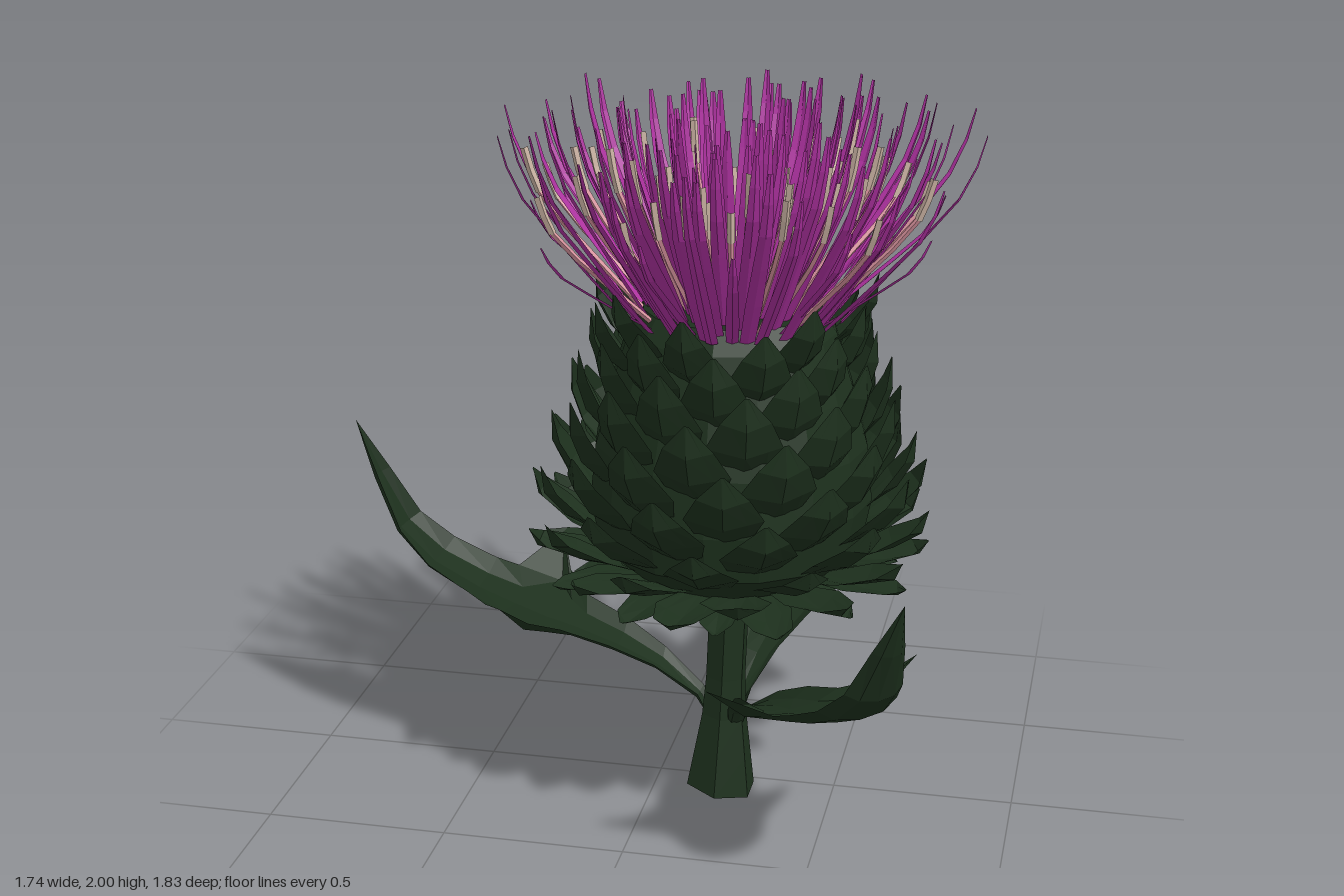
import * as THREE from 'three';
import { mergeGeometries } from 'three/addons/utils/BufferGeometryUtils.js';

const CX = 0.205, CZ = 0.06; // axis of the flower head
const GOLDEN = Math.PI * (3 - Math.sqrt(5));

// small seeded generator for natural irregularity
let seed = 7;
const rand = () => (seed = (seed * 16807) % 2147483647) / 2147483647;
const jitter = (a) => (rand() * 2 - 1) * a;

// Ridged blade pointing along +x. Station: [r, y, halfWidth, edge dr, edge dy];
// curl is the share of the edge offset reached at 60% of the half width
function blade(stations, curl = 0.6) {
  const pos = [];
  const across = [[-1, 1], [-0.6, curl], [0, 0], [0.6, curl], [1, 1]];
  const rows = stations.map(([r, y, w, dr = 0, dy = 0]) =>
    across.map(([u, k]) => [r + dr * k, y + dy * k, w * u]));
  for (let i = 0; i < rows.length - 1; i++) {
    for (let j = 0; j < 4; j++) {
      const a = rows[i][j], b = rows[i][j + 1], c = rows[i + 1][j], d = rows[i + 1][j + 1];
      pos.push(...a, ...b, ...d, ...a, ...d, ...c);
    }
  }
  const g = new THREE.BufferGeometry();
  g.setAttribute('position', new THREE.Float32BufferAttribute(pos, 3));
  g.computeVertexNormals();
  return g;
}

// Path that leans out of the head and then straightens up
function outwardPath(baseR, tipR, tipY) {
  const at = (u, v) => new THREE.Vector3(baseR + (tipR - baseR) * u, 1.39 + (tipY - 1.39) * v, 0);
  return new THREE.CatmullRomCurve3([at(0, 0), at(0.5, 0.4), at(0.88, 0.74), at(1, 1)]);
}

// Flat tapering floret strip
function floret(tipR, tipY, width) {
  const points = outwardPath(tipR * 0.45, tipR, tipY).getPoints(5);
  const taper = [1, 1.1, 1, 0.85, 0.65, 0.3];
  return blade(points.map((p, i) => [p.x, p.y, width * taper[i], -0.006 * taper[i], 0.002]));
}

// Round stamen: a filament and a slightly thicker anther, as two material groups
function stamen(tipR, tipY, radius) {
  const p = outwardPath(tipR * 0.4, tipR, tipY).getPoints(6);
  const filament = new THREE.TubeGeometry(new THREE.CatmullRomCurve3(p.slice(0, 5)), 4, radius * 0.85, 4);
  const anther = new THREE.TubeGeometry(new THREE.CatmullRomCurve3(p.slice(4)), 2, radius * 1.15, 4);
  return [filament, anther];
}

// Rings of parts around the axis: [tipR, tipY, count]
function rings(list, make, size) {
  const parts = [];
  list.forEach(([r, y, n], ring) => {
    for (let k = 0; k < n; k++) {
      const angle = (k + ring * 0.37) / n * Math.PI * 2 + jitter(0.07);
      const made = [make(r + jitter(0.03), Math.min(2, y + jitter(0.06)), size)].flat();
      made.forEach((g, i) => (parts[i] ??= []).push(g.rotateY(angle)));
    }
  });
  return parts.map((list) => mergeGeometries(list));
}

export function createModel() {
  const group = new THREE.Group();
  const mat = (name, color, side = THREE.DoubleSide) => {
    const m = new THREE.MeshStandardMaterial({ color, side, flatShading: true });
    m.name = name;
    return m;
  };
  const green = mat('leaf green', 0x1d301d);
  const purple = mat('petal purple', 0xad319f);
  const pink = mat('filament pink', 0xd9949f, THREE.FrontSide);
  const cream = mat('anther cream', 0xccb4a4, THREE.FrontSide);
  const add = (name, geometry, material, parent) => {
    const mesh = new THREE.Mesh(geometry, material);
    mesh.name = name;
    parent.add(mesh);
    return mesh;
  };

  // stem: leaning slightly, flared foot cut at a slant
  const stem = new THREE.CylinderGeometry(1, 1, 1, 6, 6);
  const sp = stem.attributes.position;
  for (let i = 0; i < sp.count; i++) {
    const t = sp.getY(i) + 0.5, x = sp.getX(i), z = sp.getZ(i);
    const foot = Math.max(0, 1 - t * 2.5);
    const r = 0.058 + 0.042 * foot;
    sp.setXYZ(i, x * r + 0.187 + 0.022 * t, t * 0.7 + foot * (0.014 - x * 0.014), z * r + 0.073 - 0.013 * t);
  }
  add('stem', stem, green, group);

  // three lobed leaves around the stem
  const leafStations = [
    [0.04, 0.20, 0.02], [0.09, 0.27, 0.035, -0.01, 0.02], [0.2, 0.35, 0.065, 0, 0.03],
    [0.32, 0.40, 0.1, 0, 0.04], [0.43, 0.435, 0.13, 0.02, 0.05], [0.485, 0.45, 0.2, 0.035, 0.075],
    [0.53, 0.46, 0.3, 0.04, 0.145], [0.62, 0.49, 0.15, 0.04, 0.055],
    [0.73, 0.53, 0.13, -0.01, 0.04], [0.86, 0.595, 0.11, -0.02, 0.035],
    [0.96, 0.69, 0.08, -0.03, 0.02], [1.03, 0.84, 0.045, -0.025, 0.01], [1.085, 1.0, 0]];
  const leaves = new THREE.Group();
  leaves.name = 'leaves';
  group.add(leaves);
  [[183, 1], [-75, 0.935], [56, 0.945]].forEach(([deg, s], i) => {
    const leaf = add('leaf' + (i + 1), blade(leafStations, 0.25), green, leaves);
    leaf.rotation.y = -deg * Math.PI / 180;
    leaf.scale.set(s, i ? 0.965 : 1, 1);
    leaf.position.set(CX, 0, CZ);
  });

  // flower head
  const head = new THREE.Group();
  head.name = 'flowerHead';
  head.position.set(CX, 0, CZ);
  group.add(head);

  const profile = [[0, 0.69], [0.27, 0.69], [0.36, 0.77], [0.385, 0.9], [0.37, 1.05],
    [0.33, 1.2], [0.28, 1.36], [0.24, 1.42], [0, 1.43]];
  add('bulb', new THREE.LatheGeometry(profile.map(([x, y]) => new THREE.Vector2(x, y)), 16), green, head);

  // overlapping bracts wound in a spiral; keys: [tipR, tipY, baseR, baseY, halfWidth]
  const keys = [
    [0.38, 0.635, 0.2, 0.70, 0.06], [0.50, 0.67, 0.27, 0.69, 0.08],
    [0.55, 0.79, 0.31, 0.70, 0.095], [0.545, 0.93, 0.36, 0.75, 0.1],
    [0.51, 1.06, 0.385, 0.84, 0.105], [0.46, 1.19, 0.38, 0.95, 0.105],
    [0.41, 1.32, 0.35, 1.08, 0.1], [0.37, 1.42, 0.31, 1.2, 0.09],
    [0.385, 1.525, 0.265, 1.31, 0.07]];
  const bracts = [], count = 112;
  for (let k = 0; k < count; k++) {
    const s = (k / (count - 1)) ** 0.9 * (keys.length - 1), i = Math.min(Math.floor(s), keys.length - 2);
    const [tr, ty, br, by, w] = keys[i].map((v, j) => THREE.MathUtils.lerp(v, keys[i + 1][j], s - i));
    const dr = tr - br, dy = ty - by;
    const g = blade([
      [br - 0.02, by, w * 0.6, -0.015],
      [br + dr * 0.45 + 0.015, by + dy * 0.36 - 0.015, w, -0.035, 0.018],
      [br + dr * 0.84 + 0.015, by + dy * 0.7 - 0.018, w * 0.66, -0.022, 0.018],
      [tr, ty, 0.006]]);
    bracts.push(g.rotateY(k * GOLDEN));
  }
  add('bracts', mergeGeometries(bracts), green, head);

  // purple florets
  add('florets', rings([[0.12, 1.86, 8], [0.21, 1.9, 14], [0.31, 1.93, 18], [0.41, 1.94, 20],
    [0.5, 1.91, 18], [0.57, 1.88, 16]], floret, 0.02)[0], purple, head);
  add('outerFlorets', rings([[0.63, 1.88, 16], [0.55, 1.68, 12]], floret, 0.016)[0], purple, head);

  // pale stamens between the florets
  const [filaments, anthers] = rings([[0.06, 1.66, 8], [0.18, 1.76, 12], [0.3, 1.8, 16],
    [0.42, 1.82, 16], [0.53, 1.8, 14]], stamen, 0.009);
  add('stamenFilaments', filaments, pink, head);
  add('stamenAnthers', anthers, cream, head);

  return group;
}
